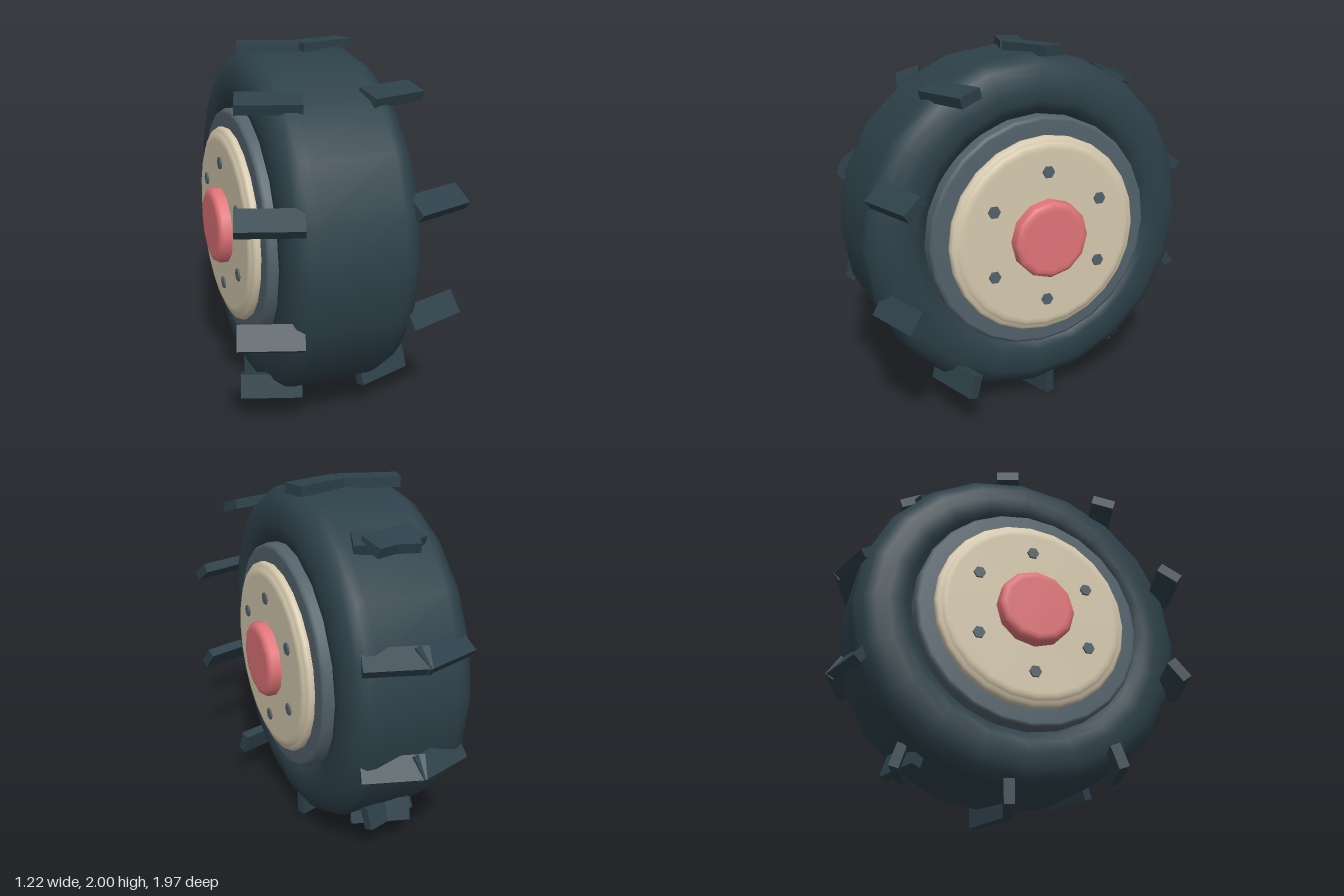
import * as THREE from 'three';

const mat = (name, color) => {
  const m = new THREE.MeshStandardMaterial({ color });
  m.name = name;
  return m;
};

export function createModel() {
  const rubber = mat('dark rubber', 0x2d4049);
  const steel = mat('grey steel', 0x53626b);
  const cream = mat('cream paint', 0xd6c9ae);
  const red = mat('red paint', 0xe07478);

  const model = new THREE.Group();
  model.name = 'tractorWheel';
  const wheel = new THREE.Group();
  wheel.name = 'wheel';
  wheel.position.set(0, 1.02, 0.047);
  model.add(wheel);

  // Turned part about the x axis; half profile as [radius, x], mirrored to the other side
  function turned(name, half, sides, material) {
    const pts = [
      ...half.slice().reverse().map(([r, x]) => new THREE.Vector2(r, -x)),
      ...half.map(([r, x]) => new THREE.Vector2(r, x)),
    ];
    const mesh = new THREE.Mesh(new THREE.LatheGeometry(pts, sides), material);
    mesh.name = name;
    mesh.rotation.z = -Math.PI / 2;
    wheel.add(mesh);
  }

  turned('tyre', [
    [0.945, 0.22], [0.935, 0.265], [0.895, 0.315], [0.84, 0.343], [0.77, 0.355],
    [0.71, 0.352], [0.67, 0.335], [0.64, 0.3], [0.6, 0.27],
  ], 20, rubber);
  turned('rim', [
    [0.637, 0.26], [0.637, 0.365], [0.63, 0.38], [0.615, 0.386], [0.5, 0.386], [0, 0.386],
  ], 24, steel);
  turned('wheelDisc', [
    [0.53, 0.37], [0.54, 0.39], [0.54, 0.41], [0.53, 0.423], [0.515, 0.424],
    [0.507, 0.432], [0.49, 0.44], [0.47, 0.441], [0, 0.441],
  ], 24, cream);
  turned('hubCap', [
    [0.212, 0.4], [0.212, 0.488], [0.203, 0.502], [0.185, 0.51], [0.165, 0.511], [0, 0.511],
  ], 12, red);

  // Six bolts on each face
  const boltGeo = new THREE.CylinderGeometry(0.034, 0.034, 0.03, 6);
  for (const side of [1, -1]) {
    for (let i = 0; i < 6; i++) {
      const a = (i * Math.PI) / 3;
      const bolt = new THREE.Mesh(boltGeo, steel);
      bolt.name = 'bolt';
      bolt.rotation.z = Math.PI / 2;
      bolt.position.set(side * 0.437, 0.355 * Math.cos(a), 0.355 * Math.sin(a));
      wheel.add(bolt);
    }
  }

  // Tread bars: two rings of ten, each ring yawed so the pairs form chevrons
  const yaw = Math.PI / 10;
  const ringRadius = 0.955;
  const barGeo = new THREE.BoxGeometry(0.33, 0.055, 0.13);
  for (const side of [1, -1]) {
    const ring = new THREE.Group();
    ring.name = side > 0 ? 'leftTreadBars' : 'rightTreadBars';
    ring.position.set(side * 0.15, 1.02, 0);
    ring.rotation.y = side * yaw;
    for (let i = -4; i <= 5; i++) {
      const a = (i * Math.PI) / 5;
      const bar = new THREE.Mesh(barGeo, rubber);
      bar.name = 'treadBar';
      bar.position.set(0, ringRadius * Math.cos(a), ringRadius * Math.sin(a));
      bar.rotation.x = a / 2;
      ring.add(bar);
    }
    model.add(ring);
  }
  return model;
}
